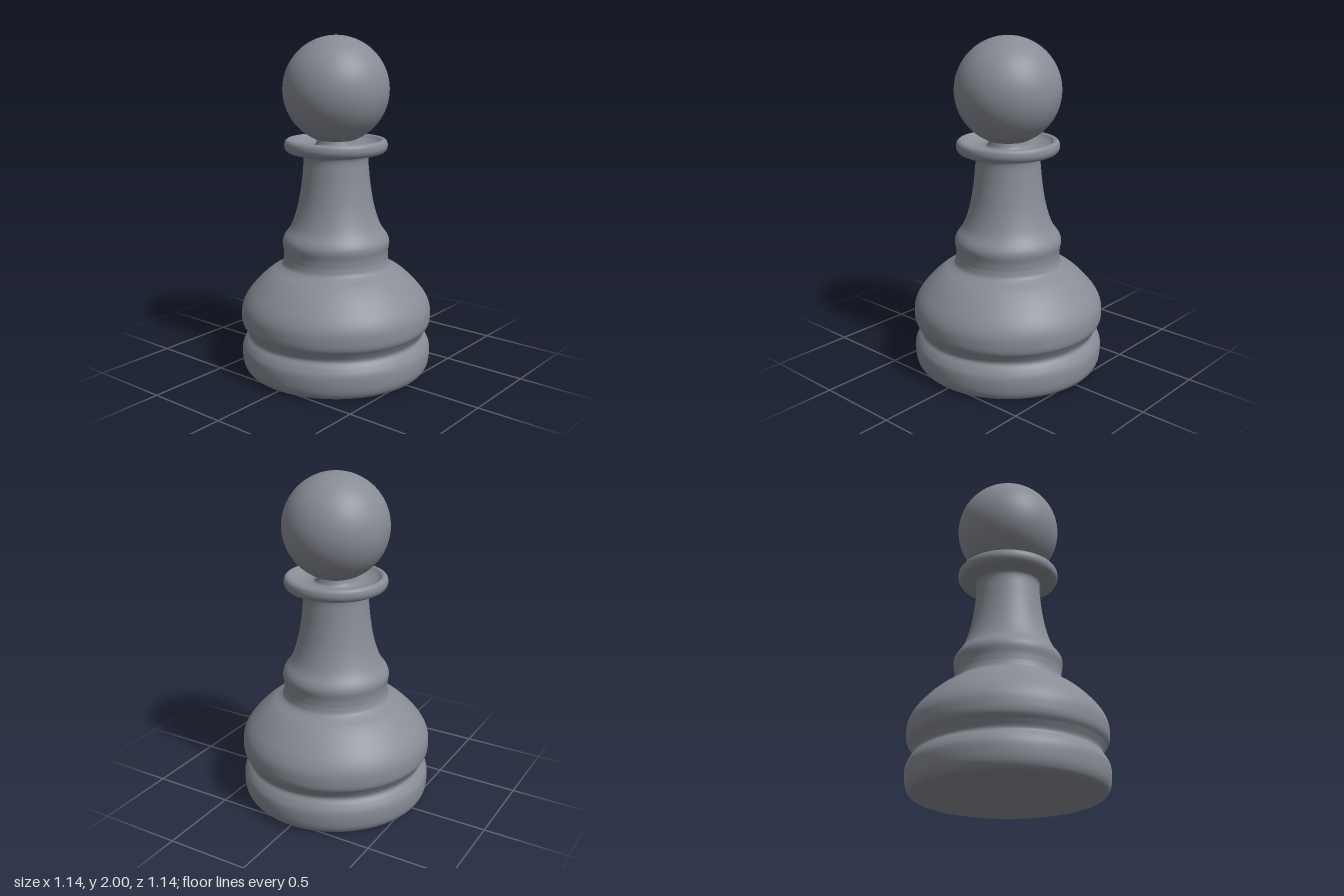
import * as THREE from 'three';

// Smooth surface of revolution through a few [radius, height] points
function turned(name, points, divisions, material) {
  const curve = new THREE.SplineCurve(points.map(([r, y]) => new THREE.Vector2(r, y)));
  const profile = curve.getPoints(divisions).map((p) => new THREE.Vector2(Math.max(p.x, 0), Math.max(p.y, 0)));
  const mesh = new THREE.Mesh(new THREE.LatheGeometry(profile, 96), material);
  mesh.name = name;
  return mesh;
}

export function createModel() {
  const grey = new THREE.MeshStandardMaterial({ color: 0x888c95 });
  grey.name = 'slate grey';
  const group = new THREE.Group();
  group.name = 'pawn';

  // Flat underside
  const underside = new THREE.Mesh(new THREE.CircleGeometry(0.5, 96), grey);
  underside.name = 'underside';
  underside.rotation.x = Math.PI / 2;
  underside.position.y = 0.005;

  // Foot ring, groove and belly
  const base = turned('base', [
    [0.5, 0.005], [0.54, 0.016], [0.562, 0.05], [0.57, 0.1], [0.568, 0.155],
    [0.55, 0.195], [0.528, 0.23], [0.545, 0.27], [0.566, 0.305], [0.571, 0.35],
    [0.564, 0.41], [0.53, 0.475], [0.465, 0.55], [0.4, 0.607], [0.345, 0.64],
    [0.32, 0.662], [0.311, 0.7],
  ], 96, grey);

  // Waist ring and tapering neck
  const neck = turned('neck', [
    [0.311, 0.7], [0.312, 0.74], [0.319, 0.79], [0.308, 0.828], [0.272, 0.88],
    [0.245, 0.945], [0.222, 1.03], [0.205, 1.13], [0.195, 1.22], [0.191, 1.28],
    [0.197, 1.31], [0.215, 1.322],
  ], 72, grey);

  // Rounded collar with a dished top rising to the short stem
  const collar = turned('collar', [
    [0.2, 1.32], [0.26, 1.323], [0.288, 1.333], [0.302, 1.358], [0.3, 1.388],
    [0.286, 1.403], [0.268, 1.402], [0.245, 1.382], [0.2, 1.365], [0.15, 1.362],
    [0.122, 1.372], [0.11, 1.41],
  ], 72, grey);

  // Ball head
  const head = new THREE.Mesh(new THREE.SphereGeometry(0.31, 96, 64), grey);
  head.name = 'head';
  head.position.y = 1.69;

  group.add(underside, base, neck, collar, head);
  return group;
}
